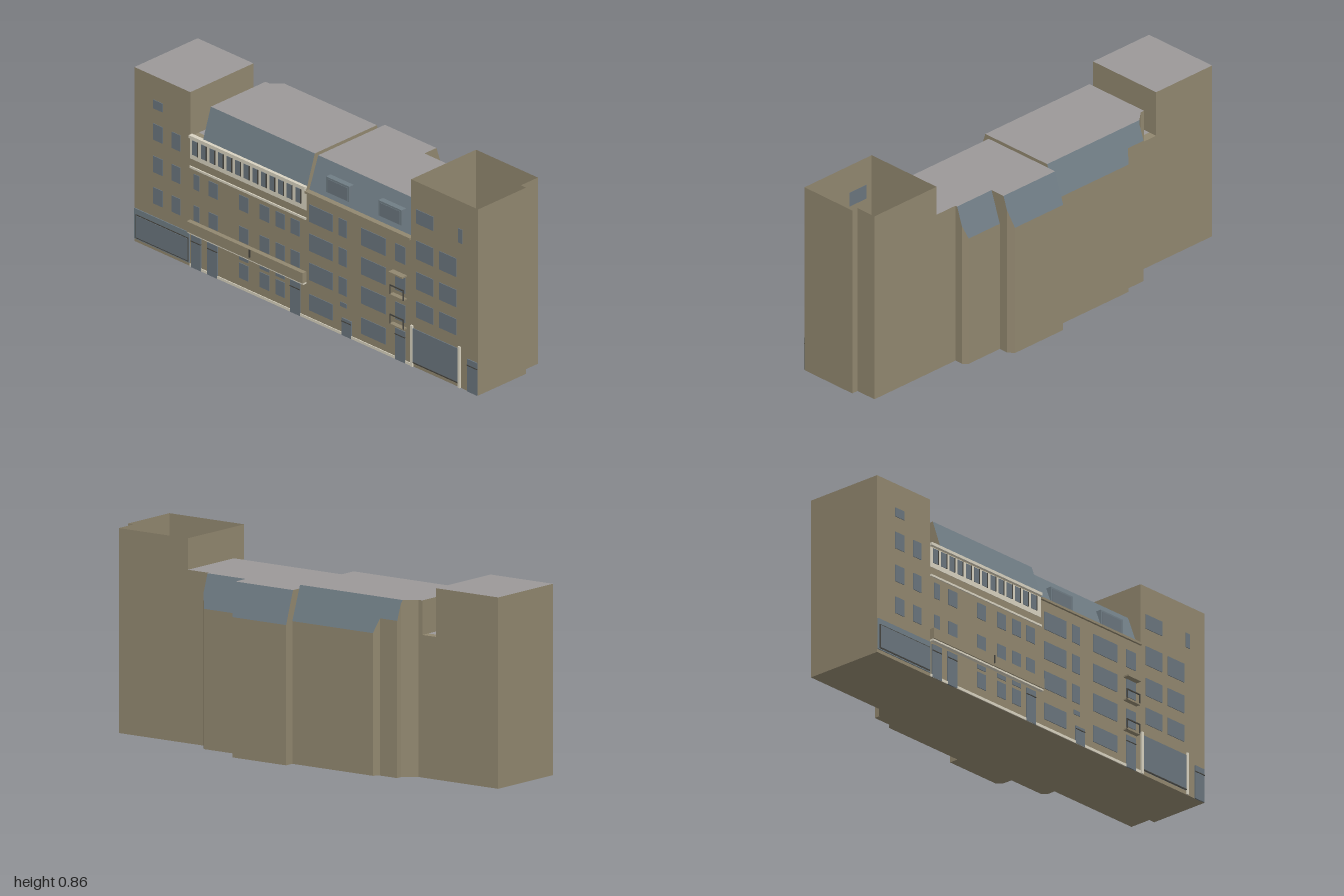
import * as THREE from 'three';

const mat = (name, color, side = THREE.FrontSide) => {
  const m = new THREE.MeshStandardMaterial({ color, side });
  m.name = name;
  return m;
};

export function createModel() {
  const model = new THREE.Group();
  model.name = 'streetBuilding';
  const wall = mat('wall stone', 0x91876f, THREE.DoubleSide);
  const roof = mat('flat roof grey', 0x9b9898);
  const slate = mat('slate', 0x707d85);
  const glass = mat('window glass', 0x6a757d);
  const cream = mat('cream trim', 0xd8d2c0);
  const dark = mat('dark frame', 0x45443f);
  const FRONT = 0.24;

  // Upright block on an [x, z] footprint; its top follows height(z). No topMat leaves it open.
  function prism(name, foot, height, topMat) {
    const shape = new THREE.Shape(foot.map(([x, z]) => new THREE.Vector2(x, -z)));
    const g = new THREE.ExtrudeGeometry(shape, { depth: 1, bevelEnabled: false });
    g.rotateX(-Math.PI / 2);
    const p = g.attributes.position;
    for (let i = 0; i < p.count; i++) p.setY(i, p.getY(i) > 0.5 ? height(p.getZ(i)) : 0);
    const caps = g.groups[0].count;
    g.clearGroups();
    g.addGroup(0, caps / 2, 0);
    if (topMat) g.addGroup(caps / 2, caps / 2, 1);
    g.addGroup(caps, p.count - caps, 0);
    g.computeVertexNormals();
    const mesh = new THREE.Mesh(g, [wall, topMat || wall]);
    mesh.name = name;
    model.add(mesh);
  }

  // Keep the part of a footprint between two z values
  function clip(foot, lo, hi) {
    const cut = (pts, limit, sign) => {
      const out = [];
      pts.forEach((a, i) => {
        const b = pts[(i + 1) % pts.length];
        const da = (a[1] - limit) * sign, db = (b[1] - limit) * sign;
        if (da >= 0) out.push(a);
        if (da * db < 0) {
          const t = da / (da - db);
          out.push([a[0] + (b[0] - a[0]) * t, limit]);
        }
      });
      return out;
    };
    return cut(cut(foot, lo, 1), hi, -1);
  }

  // Wing with a flat roof and slate slopes; zs = back eave, back ridge, front ridge, front eave
  function wing(name, foot, top, eave, zs) {
    const [a, b, c, d] = zs;
    const height = (z) => {
      const t = z < b ? (z - a) / (b - a) : z > c ? (d - z) / (d - c) : 1;
      return eave + (top - eave) * Math.min(1, Math.max(0, t));
    };
    const strips = [[-1, b, slate], [b, c, roof], [c, d, slate], [d, 1, wall]];
    for (const [lo, hi, m] of strips) {
      const part = clip(foot, lo, hi);
      const zr = part.map((q) => q[1]);
      if (part.length > 2 && Math.max(...zr) - Math.min(...zr) > 1e-4) prism(name, part, height, m);
    }
  }

  // Box given by its limits
  function box(name, m, x0, x1, y0, y1, z0, z1) {
    const mesh = new THREE.Mesh(new THREE.BoxGeometry(x1 - x0, y1 - y0, z1 - z0), m);
    mesh.position.set((x0 + x1) / 2, (y0 + y1) / 2, (z0 + z1) / 2);
    mesh.name = name;
    model.add(mesh);
  }
  const plate = (name, m, x0, x1, y0, y1, t = 0.003) => box(name, m, x0, x1, y0, y1, FRONT - 0.001, FRONT + t);
  const windows = (cols, rows) => {
    for (const [x0, x1] of cols) for (const [y0, y1] of rows) plate('window', glass, x0, x1, y0, y1);
  };

  // Towers at both ends; the taller one is open on top
  prism('leftEndTower', [[-1, 0.24], [-0.675, 0.24], [-0.675, -0.13], [-1, -0.13]], () => 0.805, roof);
  prism('rightEndTower', [[0.61, 0.24], [1, 0.24], [1, -0.04], [0.97, -0.04], [0.97, -0.14], [0.61, -0.14]], () => 0.862);

  // Low link between tower and mansard
  [[0.24, 0.19, wall], [0.19, -0.09, roof], [-0.09, -0.13, wall]].forEach(([z1, z0, m]) =>
    prism('lowLink', [[-0.675, z1], [-0.605, z1], [-0.605, z0], [-0.675, z0]], () => 0.6, m));

  // Mansard wing on the low-x side
  wing('mansardWing', [[-0.605, 0.24], [0, 0.24], [0, -0.225], [-0.42, -0.225], [-0.44, -0.203],
    [-0.53, -0.203], [-0.53, -0.178], [-0.585, -0.13], [-0.605, -0.13]], 0.745, 0.6, [-0.225, -0.173, 0.19, 0.238]);

  // Dormer wing, stepping back in three parts
  const frontSlope = [0.17, 0.222];
  wing('dormerWingDeep', [[0, 0.24], [0.3, 0.24], [0.3, -0.24], [0.28, -0.267], [0, -0.267]],
    0.73, 0.59, [-0.267, -0.22, ...frontSlope]);
  wing('dormerWingMiddle', [[0.3, 0.24], [0.5, 0.24], [0.5, -0.178], [0.48, -0.198], [0.3, -0.198]],
    0.73, 0.59, [-0.198, -0.15, ...frontSlope]);
  wing('dormerWingEnd', [[0.5, 0.24], [0.61, 0.24], [0.61, -0.14], [0.5, -0.14]],
    0.73, 0.59, [-0.2, -0.15, ...frontSlope]);

  // Dormers
  for (const x of [0.09, 0.395]) {
    box('dormer', slate, x, x + 0.135, 0.605, 0.68, 0.17, 0.215);
    box('dormerWindow', glass, x + 0.01, x + 0.125, 0.612, 0.672, 0.214, 0.217);
  }

  // Cornices, string course and plinth
  box('mansardCornice', cream, -0.675, 0, 0.597, 0.61, 0.23, 0.25);
  plate('stringCourse', cream, -0.675, 0, 0.457, 0.466, 0.006);
  box('dormerWingCornice', wall, 0, 0.61, 0.582, 0.592, 0.23, 0.25);
  plate('plinth', cream, -0.675, 0.61, 0, 0.012, 0.004);

  // Attic gallery
  plate('galleryPanel', cream, -0.675, 0, 0.5, 0.592, 0.002);
  for (let i = 0; i < 13; i++) {
    const x = -0.66 + i * 0.05;
    plate('galleryWindow', glass, x, x + 0.029, 0.522, 0.588, 0.004);
    plate('galleryFrame', dark, x + 0.029, x + 0.033, 0.522, 0.588, 0.006);
  }

  // Long balcony
  box('longBalcony', wall, -0.675, 0, 0.168, 0.216, 0.23, 0.262);
  box('balconyLedge', cream, -0.675, 0, 0.16, 0.168, 0.23, 0.257);
  box('balconyBracket', dark, -0.31, -0.304, 0.18, 0.216, 0.255, 0.265);

  // Windows: left tower, mansard wing, dormer wing, right tower
  windows([[-0.89, -0.835], [-0.78, -0.732]], [[0.51, 0.585], [0.36, 0.435], [0.215, 0.29]]);
  windows([[-0.89, -0.835]], [[0.655, 0.695]]);
  const bays = [[-0.565, -0.513], [-0.39, -0.337], [-0.268, -0.215], [-0.176, -0.123], [-0.09, -0.037]];
  windows([[-0.652, -0.62], ...bays], [[0.365, 0.435], [0.22, 0.29]]);
  windows(bays.slice(1, 4), [[0.05, 0.12], [0.135, 0.155]]);
  windows([[0.02, 0.155], [0.32, 0.465]], [[0.455, 0.535], [0.32, 0.4], [0.185, 0.265], [0.045, 0.12]]);
  windows([[0.19, 0.238], [0.52, 0.578]], [[0.455, 0.535], [0.32, 0.4], [0.185, 0.265]]);
  windows([[0.2, 0.238]], [[0.13, 0.15]]);
  windows([[0.64, 0.74], [0.775, 0.875]], [[0.505, 0.59], [0.365, 0.445], [0.235, 0.31]]);
  windows([[0.64, 0.74], [0.885, 0.91]], [[0.67, 0.735]]);

  // Doors
  for (const [x0, x1, y] of [[-0.667, -0.61, 0.15], [-0.572, -0.515, 0.15], [-0.09, -0.033, 0.15],
    [0.21, 0.265, 0.08], [0.52, 0.578, 0.145], [0.94, 0.997, 0.15]]) {
    plate('door', glass, x0, x1, 0, y, 0.005);
    plate('doorTransom', dark, x0, x1, y * 0.8, y * 0.8 + 0.004, 0.007);
  }

  // Shop fronts
  plate('leftShopFascia', slate, -0.998, -0.678, 0.015, 0.155, 0.004);
  plate('leftShopFrame', dark, -0.988, -0.682, 0.02, 0.13, 0.006);
  plate('leftShopGlass', glass, -0.984, -0.686, 0.025, 0.126, 0.008);
  plate('rightShopGlass', glass, 0.622, 0.89, 0.018, 0.178, 0.004);
  plate('rightShopRail', dark, 0.622, 0.89, 0.018, 0.023, 0.006);
  for (const x of [0.611, 0.887]) plate('shopPillar', cream, x, x + 0.012, 0, 0.19, 0.007);

  // Small balconies with rails
  box('balconyCanopy', wall, 0.505, 0.585, 0.401, 0.408, 0.23, 0.268);
  for (const y of [0.296, 0.16]) {
    box('smallBalconyFloor', wall, 0.505, 0.585, y, y + 0.006, 0.23, 0.262);
    box('smallBalconyRail', dark, 0.505, 0.585, y + 0.045, y + 0.05, 0.258, 0.262);
    for (const x of [0.505, 0.581]) box('smallBalconyPost', dark, x, x + 0.004, y, y + 0.05, 0.258, 0.262);
  }
  return model;
}
